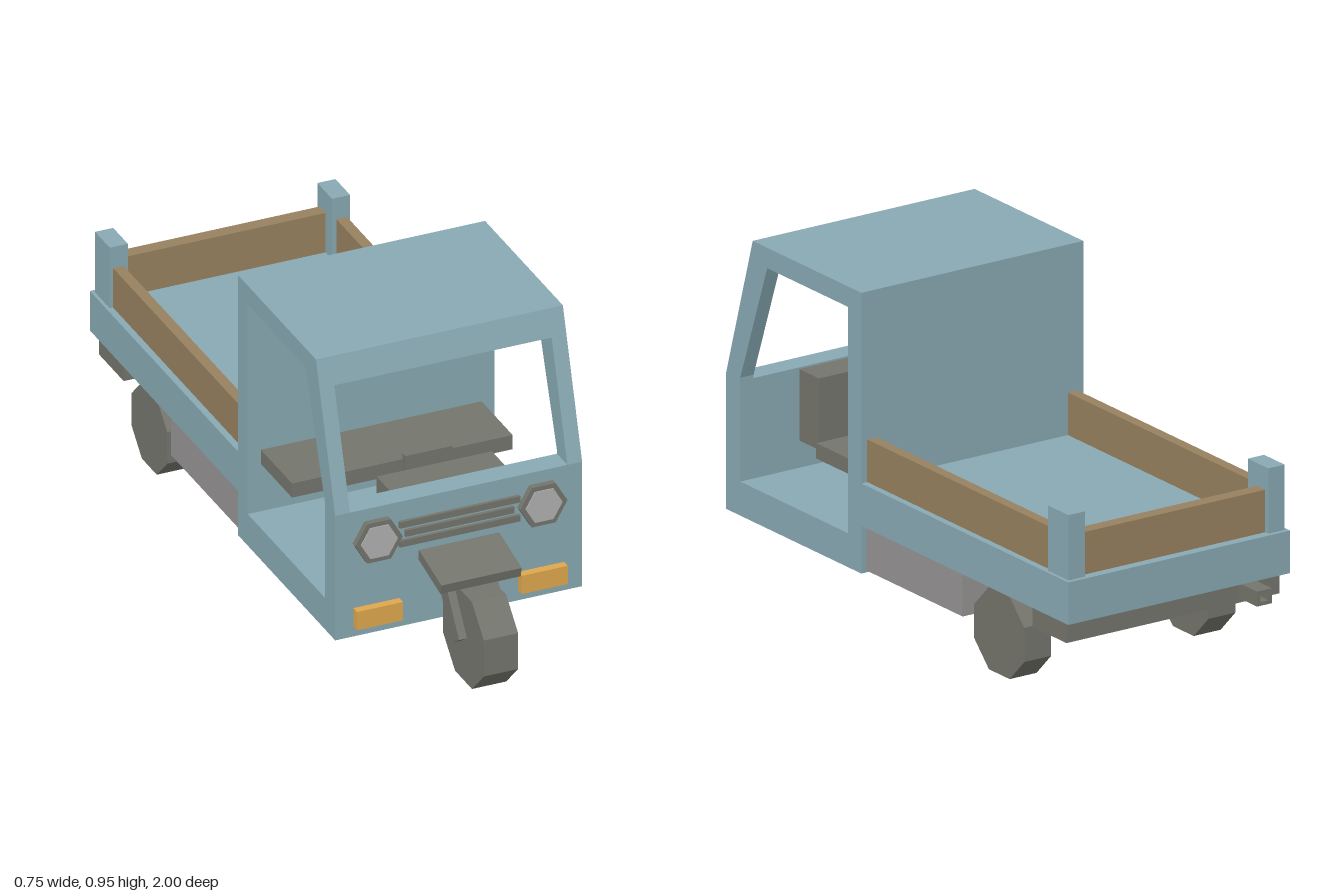
import * as THREE from 'three';

const mat = (color) => new THREE.MeshStandardMaterial({ color, flatShading: true });

export function createModel() {
  const model = new THREE.Group();
  const paint = mat(0x88a9b3), dark = mat(0x74756c), wood = mat(0x97815f);
  const amber = mat(0xdea74d), lens = mat(0xb0b0b0), tank = mat(0x969393);

  const add = (name, geometry, material) => {
    const mesh = new THREE.Mesh(geometry, material);
    mesh.name = name;
    model.add(mesh);
    return mesh;
  };
  // Box given by its limits on each axis
  const box = (name, material, [x0, x1], [y0, y1], [z0, z1]) => {
    const mesh = add(name, new THREE.BoxGeometry(x1 - x0, y1 - y0, z1 - z0), material);
    mesh.position.set((x0 + x1) / 2, (y0 + y1) / 2, (z0 + z1) / 2);
    return mesh;
  };
  // Side profile of [z, y] points, extruded across x
  const sideExtrude = (name, material, points, x0, x1) => {
    const shape = new THREE.Shape(points.map(([z, y]) => new THREE.Vector2(-z, y)));
    const geometry = new THREE.ExtrudeGeometry(shape, { depth: x1 - x0, bevelEnabled: false });
    geometry.rotateY(Math.PI / 2).translate(x0, 0, 0);
    return add(name, geometry, material);
  };
  // Octagonal wheel standing on a flat
  const wheel = (name, x, y, z, radius, width) => {
    const geometry = new THREE.CylinderGeometry(radius, radius, width, 8);
    geometry.rotateY(Math.PI / 8).rotateZ(Math.PI / 2);
    add(name, geometry, dark).position.set(x, y, z);
  };
  // Hexagonal disc facing forward
  const hexDisc = (name, material, x, y, z, radius, depth) => {
    const geometry = new THREE.CylinderGeometry(radius, radius, depth, 6);
    geometry.rotateY(Math.PI / 6).rotateX(Math.PI / 2);
    add(name, geometry, material).position.set(x, y, z);
  };

  // Cab: floor, back wall, roof and nose in one section, open at the windscreen
  sideExtrude('cabShell', paint, [
    [0.715, 0.125], [0.715, 0.52], [0.645, 0.52], [0.645, 0.225], [0.125, 0.225],
    [0.125, 0.89], [0.515, 0.89], [0.522, 0.87], [0.609, 0.87], [0.585, 0.95],
    [0.06, 0.95], [0.06, 0.125],
  ], -0.375, 0.375);
  for (const x of [-0.375, 0.33]) {
    sideExtrude('windscreenPost', paint, [
      [0.715, 0.52], [0.609, 0.87], [0.522, 0.87], [0.645, 0.53], [0.645, 0.52],
    ], x, x + 0.045);
  }

  // Cab interior
  box('seat', dark, [-0.335, 0.335], [0.375, 0.42], [0.125, 0.335]);
  box('dashboard', dark, [-0.175, 0.175], [0.305, 0.515], [0.55, 0.645]);
  box('steeringColumn', dark, [-0.012, 0.012], [0.468, 0.49], [0.51, 0.55]);
  box('steeringWheel', dark, [-0.072, 0.072], [0.42, 0.538], [0.495, 0.515]);

  // Grille bars
  for (const [y, half] of [[0.45, 0.183], [0.42, 0.165], [0.39, 0.183]]) {
    box('grilleBar', dark, [-half, half], [y - 0.01, y + 0.01], [0.71, 0.725]);
  }

  // Cargo bed and chassis
  box('cargoBed', paint, [-0.375, 0.375], [0.265, 0.39], [-0.94, 0.06]);
  box('underfloorBox', tank, [-0.365, 0.365], [0.135, 0.265], [-0.415, 0.05]);
  box('tailBoard', wood, [-0.31, 0.31], [0.39, 0.515], [-0.912, -0.872]);
  box('rearBumper', dark, [-0.36, 0.36], [0.2, 0.265], [-0.91, -0.745]);

  // Parts mirrored on both sides
  for (const s of [-1, 1]) {
    const span = (a, b) => (s > 0 ? [a, b] : [-b, -a]);
    hexDisc('headlightRim', dark, s * 0.25, 0.42, 0.723, 0.072, 0.022);
    hexDisc('headlightLens', lens, s * 0.25, 0.42, 0.726, 0.056, 0.022);
    box('turnSignal', amber, span(0.18, 0.32), [0.157, 0.215], [0.71, 0.74]);
    box('sideBoard', wood, span(0.323, 0.355), [0.39, 0.515], [-0.84, 0.06]);
    box('cornerPost', paint, span(0.31, 0.365), [0.39, 0.582], [-0.927, -0.828]);
    wheel('rearWheel', s * 0.311, 0.133, -0.58, 0.131, 0.091);
    const fork = box('forkLeg', dark, span(0.053, 0.077), [0.11, 0.355], [0.772, 0.824]);
    fork.rotation.x = -0.6;
  }

  // Front wheel and tilted mudguard
  wheel('frontWheel', 0, 0.139, 0.863, 0.149, 0.104);
  const mudguard = box('frontMudguard', dark, [-0.122, 0.122], [0.307, 0.338], [0.712, 0.868]);
  mudguard.rotation.x = 0.23;

  // Square exhaust pipe, open at the rear
  const pipe = new THREE.Shape();
  pipe.moveTo(-0.025, -0.022).lineTo(0.025, -0.022).lineTo(0.025, 0.022).lineTo(-0.025, 0.022);
  const bore = new THREE.Path();
  bore.moveTo(-0.013, -0.011).lineTo(-0.013, 0.011).lineTo(0.013, 0.011).lineTo(0.013, -0.011);
  pipe.holes.push(bore);
  const exhaust = new THREE.ExtrudeGeometry(pipe, { depth: 0.1, bevelEnabled: false });
  add('exhaustPipe', exhaust, dark).position.set(-0.246, 0.237, -1);

  return model;
}
